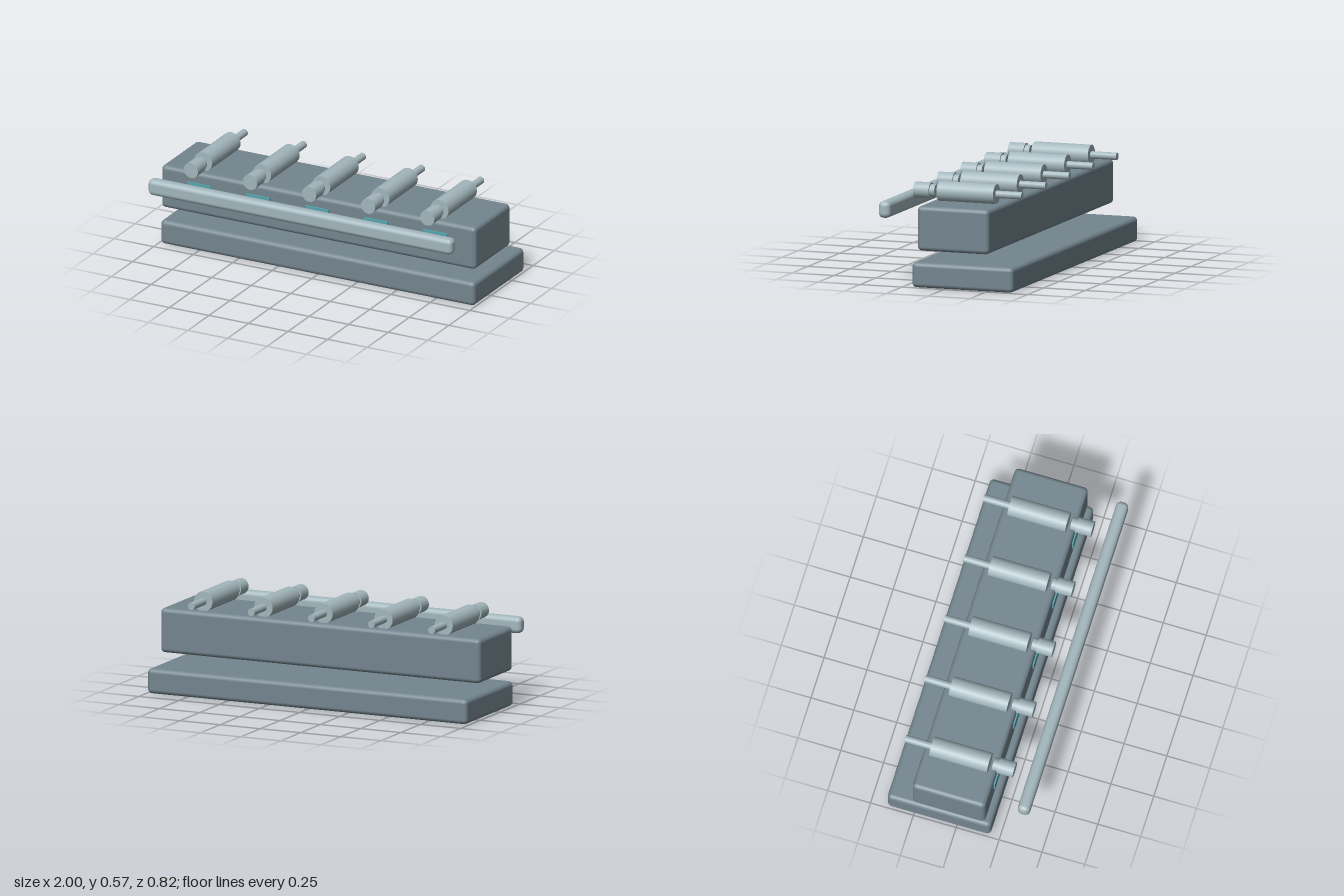
import * as THREE from 'three';
import { RoundedBoxGeometry } from 'three/addons/geometries/RoundedBoxGeometry.js';

export function createModel() {
  const model = new THREE.Group();
  const material = (name, color) => {
    const m = new THREE.MeshStandardMaterial({ color });
    m.name = name;
    return m;
  };
  const slate = material('slate grey', 0x74868f);
  const steel = material('pale steel', 0xa3b7bd);
  const teal = material('teal', 0x55a5ad);

  const add = (parent, name, geometry, mat, x, y, z) => {
    const mesh = new THREE.Mesh(geometry, mat);
    mesh.name = name;
    mesh.position.set(x, y, z);
    parent.add(mesh);
  };

  // Rounded block given by its extents on each axis
  const block = (name, mat, [x0, x1], [y0, y1], [z0, z1], radius) =>
    add(model, name, new RoundedBoxGeometry(x1 - x0, y1 - y0, z1 - z0, 3, radius), mat,
      (x0 + x1) / 2, (y0 + y1) / 2, (z0 + z1) / 2);

  block('base', slate, [-0.99, 0.997], [0, 0.142], [-0.408, 0.196], 0.025);
  block('manifoldBody', slate, [-1, 0.988], [0.207, 0.46], [-0.26, 0.166], 0.025);
  block('frontRail', steel, [-0.957, 0.965], [0.375, 0.469], [0.34, 0.41], 0.028);

  // Cylinder lying along z, between two depths
  const barrel = (parent, name, radius, z0, z1) => {
    const g = new THREE.CylinderGeometry(radius, radius, z1 - z0, 24);
    g.rotateX(Math.PI / 2);
    add(parent, name, g, steel, 0, 0.512, (z0 + z1) / 2);
  };

  // Five identical units: barrel, rear rod, front knob and label plate
  for (let i = 0; i < 5; i++) {
    const unit = new THREE.Group();
    unit.name = `unit${i + 1}`;
    unit.position.x = -0.008 + (i - 2) * 0.3735;
    barrel(unit, 'barrel', 0.057, -0.216, 0.122);
    barrel(unit, 'rearRod', 0.021, -0.37, -0.216);
    barrel(unit, 'knobCollar', 0.036, 0.143, 0.173);
    barrel(unit, 'knob', 0.045, 0.173, 0.267);
    add(unit, 'labelPlate', new THREE.BoxGeometry(0.149, 0.08, 0.0095), teal, 0, 0.357, 0.17);
    model.add(unit);
  }
  return model;
}
